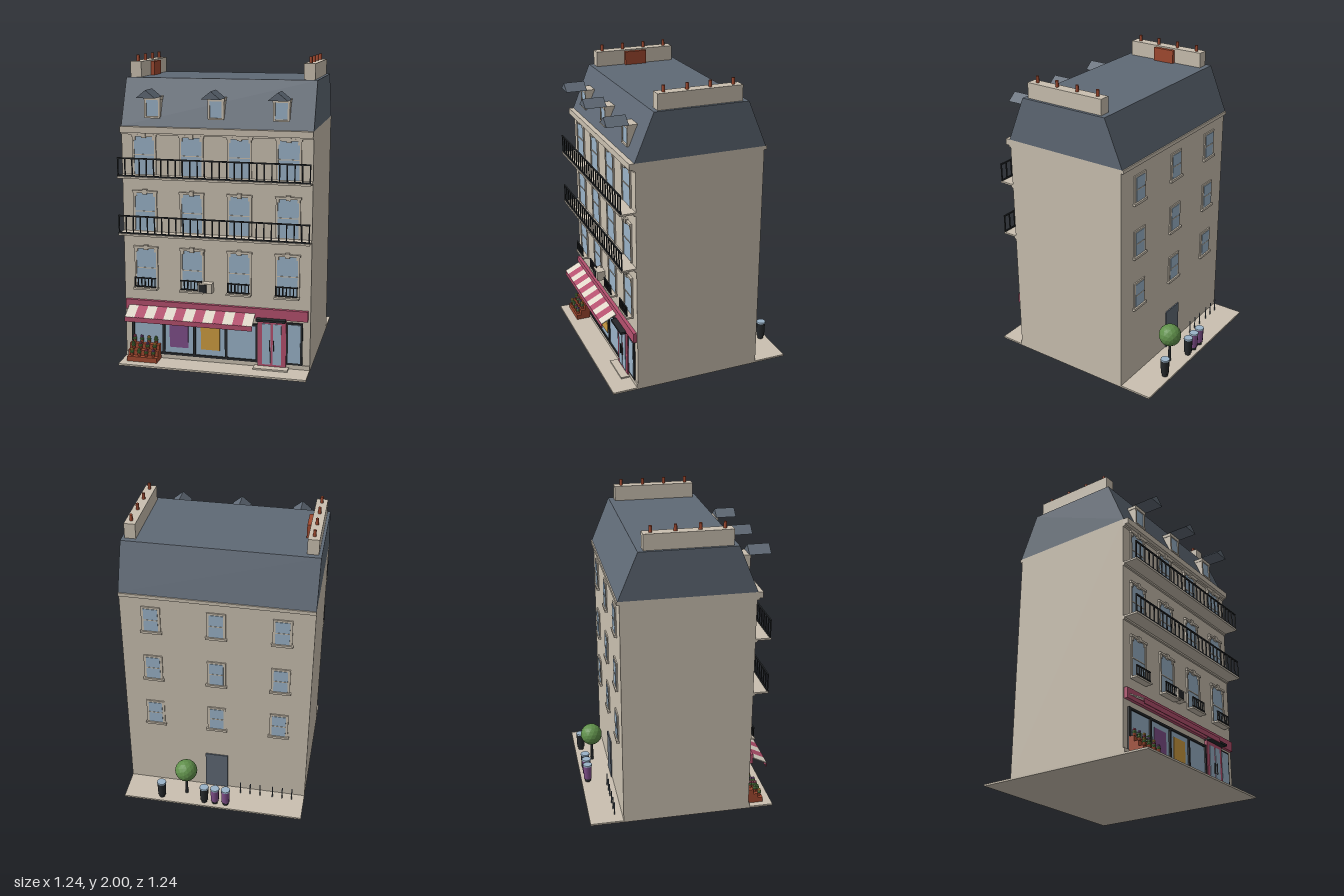
import * as THREE from 'three';

const mat = (name, color, opts = {}) => {
  const m = new THREE.MeshStandardMaterial({ color, ...opts });
  m.name = name;
  return m;
};

export function createModel() {
  const stone = mat('stone', 0xcac0b0), slate = mat('slate', 0x5f6975), glass = mat('glass', 0x9ab3c8);
  const pink = mat('pink', 0xb4506e), iron = mat('iron', 0x25282b), clay = mat('terracotta', 0xa14a30);
  const purple = mat('purple', 0x7f4f8a), amber = mat('amber', 0xcd9c40);
  const leaf = mat('leaf', 0x5f8f4a, { flatShading: true }), ivory = mat('ivory', 0xe0d8ca);

  const model = new THREE.Group();
  model.name = 'townhouse';
  const group = (name, x = 0, y = 0, z = 0) => {
    const g = new THREE.Group();
    g.name = name;
    g.position.set(x, y, z);
    model.add(g);
    return g;
  };
  const add = (parent, name, geo, m, x = 0, y = 0, z = 0) => {
    const mesh = new THREE.Mesh(geo, m);
    mesh.name = name;
    mesh.position.set(x, y, z);
    parent.add(mesh);
    return mesh;
  };
  // box given by its extents
  const box = (parent, name, m, x0, x1, y0, y1, z0, z1) =>
    add(parent, name, new THREE.BoxGeometry(x1 - x0, y1 - y0, z1 - z0), m,
      (x0 + x1) / 2, (y0 + y1) / 2, (z0 + z1) / 2);
  const cyl = (parent, name, m, r0, r1, y0, y1, x, z, n = 10) =>
    add(parent, name, new THREE.CylinderGeometry(r1, r0, y1 - y0, n), m, x, (y0 + y1) / 2, z);
  const prism = (points, depth) => new THREE.ExtrudeGeometry(
    new THREE.Shape(points.map(p => new THREE.Vector2(...p))), { depth, bevelEnabled: false });

  // ground slab, walls and mouldings
  const shell = group('building');
  box(shell, 'pavement', stone, -0.62, 0.62, 0, 0.012, -0.62, 0.62);
  box(shell, 'walls', stone, -0.62, 0.62, 0.012, 1.56, -0.4, 0.45);
  box(shell, 'plinth', stone, -0.62, 0.62, 0.012, 0.04, 0.45, 0.458);
  box(shell, 'frontCornice', stone, -0.62, 0.62, 1.52, 1.56, 0.45, 0.487);
  box(shell, 'corniceBand', stone, -0.62, 0.62, 1.508, 1.52, 0.45, 0.465);
  box(shell, 'backCornice', stone, -0.62, 0.62, 1.537, 1.56, -0.418, -0.4);

  // mansard roof, section runs front to back
  const roof = add(shell, 'mansardRoof',
    prism([[-0.455, 1.56], [0.41, 1.56], [0.285, 1.86], [-0.33, 1.86]], 1.24), slate, -0.62);
  roof.rotation.y = Math.PI / 2;

  // chimney stacks with pots
  for (const s of [-1, 1]) {
    const g = group('chimney');
    box(g, 'stack', stone, s * 0.565 - 0.036, s * 0.565 + 0.036, 1.86, 1.96, -0.25, 0.3);
    for (const z of [-0.2, -0.05, 0.1, 0.25]) cyl(g, 'pot', clay, 0.011, 0.01, 1.96, 2, s * 0.565, z);
  }
  box(shell, 'brickFlue', clay, -0.529, -0.505, 1.86, 1.95, -0.05, 0.1);

  // dormers
  for (const x of [-0.415, 0, 0.415]) {
    const g = group('dormer', x);
    box(g, 'body', stone, -0.045, 0.045, 1.62, 1.75, 0.36, 0.434);
    for (const s of [-1, 1]) box(g, 'jamb', stone, s * 0.046 - 0.007, s * 0.046 + 0.007, 1.62, 1.75, 0.36, 0.442);
    box(g, 'head', stone, -0.056, 0.056, 1.728, 1.75, 0.37, 0.444);
    box(g, 'glazing', glass, -0.039, 0.039, 1.625, 1.728, 0.43, 0.437);
    box(g, 'sill', stone, -0.05, 0.05, 1.612, 1.622, 0.4, 0.446);
    add(g, 'gable', prism([[-0.062, 1.75], [0.062, 1.75], [0, 1.8]], 0.14), slate, 0, 0, 0.433);
  }

  // front windows
  const columns = [-0.468, -0.156, 0.156, 0.468];
  const frontWindow = (x, y0, y1) => {
    const g = group('frontWindow', x, 0, 0.45);
    box(g, 'glazing', glass, -0.068, 0.068, y0, y1, 0, 0.004);
    for (const s of [-1, 1]) {
      box(g, 'jamb', stone, s * 0.073 - 0.006, s * 0.073 + 0.006, y0, y1, 0, 0.01);
      box(g, 'bracket', stone, s * 0.066 - 0.009, s * 0.066 + 0.009, y1 - 0.022, y1, 0, 0.012);
    }
    box(g, 'transom', stone, -0.068, 0.068, y0 + 0.125, y0 + 0.131, 0, 0.007);
    box(g, 'lintel', stone, -0.083, 0.083, y1, y1 + 0.015, 0, 0.016);
    box(g, 'keystone', stone, -0.014, 0.014, y1 - 0.008, y1 + 0.024, 0, 0.02);
    return g;
  };
  // railing in the xy plane
  const railing = (g, half, y0, y1, z, bars, t) => {
    for (const y of [y0, y1]) box(g, 'rail', iron, -half, half, y - t, y + t, z - t, z + t);
    for (let i = 0; i <= bars; i++) {
      const x = -half + t + (2 * (half - t) * i) / bars;
      box(g, 'baluster', iron, x - t * 0.8, x + t * 0.8, y0, y1, z - t * 0.8, z + t * 0.8);
    }
  };
  for (const x of columns) {
    const g = frontWindow(x, 0.5, 0.76);
    box(g, 'sill', stone, -0.08, 0.08, 0.488, 0.5, 0, 0.048);
    railing(g, 0.072, 0.51, 0.568, 0.04, 6, 0.004);
    frontWindow(x, 0.88, 1.13);
    frontWindow(x, 1.25, 1.495);
  }

  // full-width balconies
  for (const y of [0.862, 1.236]) {
    const g = group('balcony');
    box(g, 'slab', stone, -0.62, 0.62, y, y + 0.012, 0.45, 0.552);
    box(g, 'moulding', stone, -0.62, 0.62, y - 0.012, y, 0.45, 0.462);
    railing(g, 0.62, y + 0.018, y + 0.13, 0.545, 26, 0.0045);
  }

  // air conditioner
  const ac = group('airConditioner');
  box(ac, 'case', stone, -0.11, -0.015, 0.495, 0.56, 0.45, 0.505);
  box(ac, 'fanGrille', iron, -0.102, -0.05, 0.502, 0.553, 0.503, 0.509);

  // shopfront
  const shop = group('shopfront');
  box(shop, 'fascia', pink, -0.61, 0.605, 0.342, 0.41, 0.45, 0.473);
  box(shop, 'header', iron, -0.575, 0.28, 0.285, 0.3, 0.45, 0.463);
  box(shop, 'displayGlass', glass, -0.575, 0.28, 0.05, 0.29, 0.45, 0.455);
  box(shop, 'bottomRail', iron, -0.575, 0.28, 0.04, 0.055, 0.45, 0.463);
  for (const x of [-0.567, -0.355, -0.145, 0.07, 0.274])
    box(shop, 'mullion', iron, x - 0.009, x + 0.009, 0.04, 0.3, 0.45, 0.464);
  box(shop, 'purplePoster', purple, -0.315, -0.188, 0.095, 0.25, 0.454, 0.459);
  box(shop, 'amberPoster', amber, -0.102, 0.026, 0.095, 0.25, 0.454, 0.459);
  box(shop, 'sideWindowFrame', iron, 0.466, 0.572, 0.04, 0.325, 0.45, 0.46);
  box(shop, 'sideWindowGlass', glass, 0.478, 0.558, 0.055, 0.312, 0.457, 0.463);

  // double door with hood and step
  const door = group('shopDoor');
  box(door, 'frame', pink, 0.28, 0.466, 0.02, 0.335, 0.45, 0.468);
  for (const x of [0.338, 0.408]) {
    box(door, 'doorGlass', glass, x - 0.027, x + 0.027, 0.035, 0.31, 0.466, 0.472);
    const s = Math.sign(x - 0.373);
    box(door, 'handle', iron, x - s * 0.022 - 0.003, x - s * 0.022 + 0.003, 0.13, 0.2, 0.472, 0.48);
  }
  box(door, 'hood', iron, 0.275, 0.466, 0.335, 0.35, 0.45, 0.512);
  box(door, 'step', stone, 0.26, 0.485, 0.012, 0.022, 0.45, 0.52);

  // striped awning
  const awning = group('awning', 0, 0.375, 0.465);
  const drop = 0.055, reach = 0.108, w = 0.85 / 13;
  for (let i = 0; i < 13; i++) {
    const x = -0.585 + w * (i + 0.5);
    const stripe = add(awning, 'stripe', new THREE.BoxGeometry(w, 0.006, Math.hypot(drop, reach)),
      i % 2 ? pink : ivory, x, -drop / 2, reach / 2);
    stripe.rotation.x = Math.atan2(drop, reach);
  }
  box(awning, 'valance', pink, -0.585, 0.265, -0.085, -0.053, reach - 0.003, reach + 0.003);

  // stepped flower stand
  const stand = group('flowerStand');
  const blooms = [amber, leaf, pink, purple];
  for (let r = 0; r < 3; r++) {
    const z = 0.545 - r * 0.033, y = 0.045 + r * 0.035;
    box(stand, 'crate', clay, -0.58, -0.375, 0.012, y, z - 0.0165, z + 0.0165);
    for (let c = 0; c < 4; c++) {
      const x = -0.55 + c * 0.049;
      cyl(stand, 'flowerPot', clay, 0.009, 0.013, y, y + 0.022, x, z, 8);
      add(stand, 'foliage', new THREE.IcosahedronGeometry(0.015, 0), leaf, x, y + 0.03, z);
      add(stand, 'bloom', new THREE.IcosahedronGeometry(0.012, 0), blooms[(r + c) % 4], x, y + 0.045, z);
    }
  }

  // back windows and door
  for (const x of [-0.42, 0, 0.42]) for (const y of [0.53, 0.905, 1.28]) {
    const g = group('backWindow', x, y, -0.4);
    box(g, 'surround', stone, -0.062, 0.062, 0, 0.19, -0.008, 0);
    box(g, 'glazing', glass, -0.046, 0.046, 0.014, 0.176, -0.011, -0.004);
    box(g, 'transom', stone, -0.046, 0.046, 0.092, 0.098, -0.013, -0.004);
    box(g, 'sill', stone, -0.07, 0.07, -0.006, 0.01, -0.018, 0);
  }
  box(shell, 'backDoor', slate, -0.075, 0.08, 0.012, 0.3, -0.408, -0.4);

  // bins
  for (const [x, m] of [[-0.09, purple], [-0.015, purple], [0.06, iron], [0.36, iron]]) {
    const g = group('bin', x, 0, -0.575);
    cyl(g, 'foot', iron, 0.02, 0.02, 0.012, 0.037, 0, 0);
    cyl(g, 'body', m, 0.027, 0.03, 0.035, 0.137, 0, 0);
    cyl(g, 'lid', glass, 0.033, 0.031, 0.137, 0.146, 0, 0);
  }

  // tree and bollards
  const tree = group('tree', 0.198, 0, -0.51);
  cyl(tree, 'trunk', iron, 0.011, 0.009, 0.012, 0.16, 0, 0, 8);
  add(tree, 'crown', new THREE.IcosahedronGeometry(0.077, 2), leaf, 0, 0.22, 0);
  const bollards = group('bollards');
  for (const x of [-0.535, -0.468, -0.4, -0.312, -0.243, -0.175])
    cyl(bollards, 'bollard', slate, 0.004, 0.004, 0.012, 0.105, x, -0.45, 6);

  return model;
}
